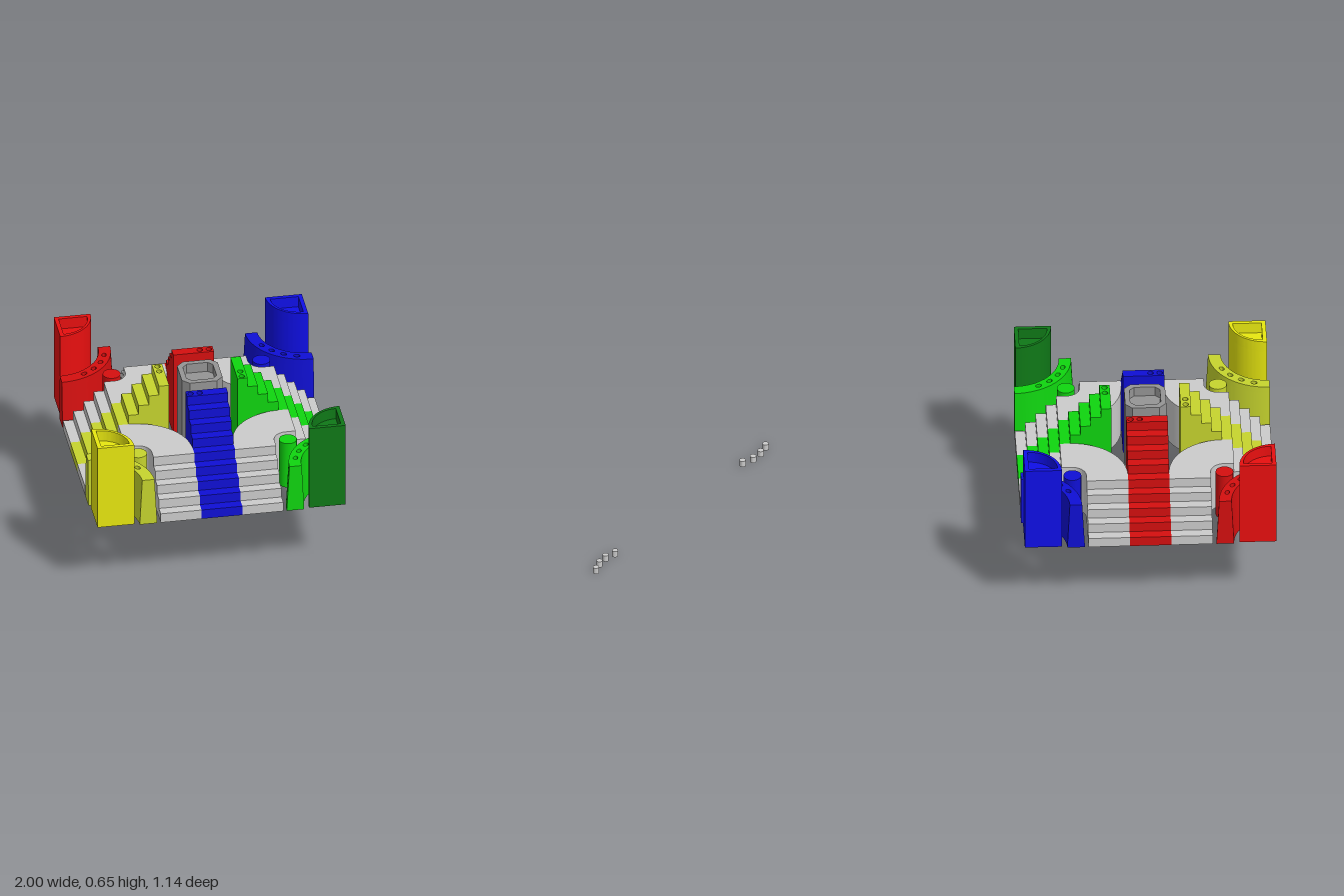
import * as THREE from 'three';
import { toCreasedNormals } from 'three/addons/utils/BufferGeometryUtils.js';

const H = 0.4845;          // half size of the board
const T = 0.0392;          // step depth and height
const Y0 = 0.302;          // underside of the board
const DECK = 5 * T;        // road height
const TALL = 9 * T;        // staircase and tower height
const W0 = 0.0785, W1 = 0.236; // road edges, measured from the board's middle
const C = H - DECK;        // centre of each road bend

const mat = (color) => new THREE.MeshStandardMaterial({ color });
const GREY = mat(0xcccccc), DARK = mat(0x959595);

function add(parent, name, geometry, material) {
  const mesh = new THREE.Mesh(toCreasedNormals(geometry, 0.5), material);
  mesh.name = name;
  parent.add(mesh);
  return mesh;
}

// Plan shape (x, z) extruded upwards from y = bottom
function slab(shape, bottom, height) {
  return new THREE.ExtrudeGeometry(shape, { depth: height, bevelEnabled: false, curveSegments: 16 })
    .rotateX(Math.PI / 2).translate(0, bottom + height, 0);
}

// Quarter sector facing -x -z, solid when r0 is 0
function sector(cx, cz, r0, r1) {
  const s = new THREE.Shape();
  s.absarc(cx, cz, r1, Math.PI, 1.5 * Math.PI, false);
  if (r0 > 0) s.absarc(cx, cz, r0, 1.5 * Math.PI, Math.PI, true);
  else s.lineTo(cx, cz);
  s.closePath();
  return s;
}

function hole(x, z, r) {
  return new THREE.Path().absarc(x, z, r, 0, Math.PI * 2, true);
}

// Steps rising from the +z edge towards the middle, spanning x0..x1
function steps(n, x0, x1, lastDrop = 0) {
  const s = new THREE.Shape();
  s.moveTo(H - n * T, 0);
  s.lineTo(H, 0);
  for (let i = 0; i < n; i++) {
    const y = (i + 1) * T - (i === n - 1 ? lastDrop : 0);
    s.lineTo(H - i * T, y);
    s.lineTo(H - (i + 1) * T, y);
  }
  s.closePath();
  return new THREE.ExtrudeGeometry(s, { depth: x1 - x0, bevelEnabled: false })
    .rotateY(-Math.PI / 2).translate(x1, Y0, 0);
}

function staircase(material) {
  const g = new THREE.Group();
  g.name = 'staircase';
  const cap = 0.02, zIn = H - 9 * T;
  add(g, 'stairSteps', steps(9, -W0, W0, cap), material);
  // top tread with two peg holes
  const top = new THREE.Shape([[-W0, zIn], [W0, zIn], [W0, zIn + T], [-W0, zIn + T]]
    .map(([x, z]) => new THREE.Vector2(x, z)));
  for (const x of [-0.062, -0.027]) top.holes.push(hole(x, zIn + T / 2, 0.011));
  add(g, 'topTread', slab(top, Y0 + TALL - cap, cap), material);
  return g;
}

// L-shaped road: two stepped arms joined by a rounded bend
function road() {
  const g = new THREE.Group();
  g.name = 'road';
  add(g, 'frontArm', steps(5, W0, W1), GREY);
  add(g, 'sideArm', steps(5, -W1, -W0).rotateY(Math.PI / 2), GREY);
  add(g, 'roadBend', slab(sector(C, C, C - W1, C - W0), Y0, DECK), GREY);
  return g;
}

// Narrows the curved wall towards its top, about its middle radius
function taper(geometry) {
  const p = geometry.attributes.position;
  for (let i = 0; i < p.count; i++) {
    const dx = p.getX(i) - H, dz = p.getZ(i) - H, r = Math.hypot(dx, dz);
    const k = (0.2 + (r - 0.2) * (1 - 0.3 * (p.getY(i) - Y0) / DECK)) / r;
    p.setX(i, H + dx * k);
    p.setZ(i, H + dz * k);
  }
  return geometry;
}

function cornerBase(material, towerMaterial) {
  const g = new THREE.Group();
  g.name = 'cornerBase';
  // curved wall with a row of peg holes
  const depth = 0.025;
  add(g, 'curvedWall', taper(slab(sector(H, H, 0.168, 0.235), Y0, DECK - depth)), material);
  const top = sector(H, H, 0.168, 0.235);
  for (let i = 0; i < 4; i++) {
    const a = THREE.MathUtils.degToRad(28 + 15 * i);
    top.holes.push(hole(H - 0.2 * Math.sin(a), H - 0.2 * Math.cos(a), 0.0125));
  }
  add(g, 'curvedWallTop', taper(slab(top, Y0 + DECK - depth, depth)), material);
  // tower with a hollow top
  const c = H - 0.007, rim = 0.045;
  add(g, 'tower', slab(sector(c, c, 0, 0.141), Y0, TALL - rim), towerMaterial);
  const rimShape = sector(c, c, 0, 0.141);
  rimShape.holes.push(sector(c - 0.016, c - 0.016, 0, 0.109));
  add(g, 'towerRim', slab(rimShape, Y0 + TALL - rim, rim), towerMaterial);
  // small round post inside the road bend
  add(g, 'post', new THREE.CylinderGeometry(0.034, 0.034, DECK, 16)
    .translate(C, Y0 + DECK / 2, C), material);
  return g;
}

// Square outline with cut corners
function octagon(h, cut) {
  const k = h - cut;
  return new THREE.Shape([[-k, -h], [k, -h], [h, -k], [h, k], [k, h], [-k, h], [-h, k], [-h, -k]]
    .map(([x, z]) => new THREE.Vector2(x, z)));
}

export function createModel() {
  const model = new THREE.Group();
  model.name = 'boardGame';
  const board = new THREE.Group();
  board.name = 'board';
  board.position.set(-0.5155, 0, -0.0875);
  model.add(board);

  const red = mat(0xd50f0f), green = mat(0x0fd50f), blue = mat(0x0f0fd5), yellow = mat(0xc6d42e);
  const stairColors = [blue, green, red, yellow];
  const cornerColors = [
    [green, mat(0x0f7817)], [blue, mat(0x0f0fe8)], [red, mat(0xe80f0f)], [yellow, mat(0xe8e810)],
  ];
  for (let i = 0; i < 4; i++) {
    const parts = [staircase(stairColors[i]), road(), cornerBase(...cornerColors[i])];
    for (const part of parts) {
      part.rotation.y = i * Math.PI / 2;
      board.add(part);
    }
  }

  // central pillar with a shallow well
  const well = 0.04;
  add(board, 'centrePillar', slab(octagon(0.078, 0.026), Y0, TALL - well), DARK);
  const rim = octagon(0.078, 0.026);
  rim.holes.push(octagon(0.058, 0.018));
  add(board, 'centrePillarRim', slab(rim, Y0 + TALL - well, well), DARK);

  // loose playing pegs
  for (const [x, z] of [[0.896, 0.559], [0.917, 0.516], [0.947, 0.479], [0.988, 0.454]]) {
    add(model, 'peg', new THREE.CylinderGeometry(0.012, 0.012, 0.025, 16)
      .translate(x, 0.0125, z), GREY);
  }
  return model;
}
